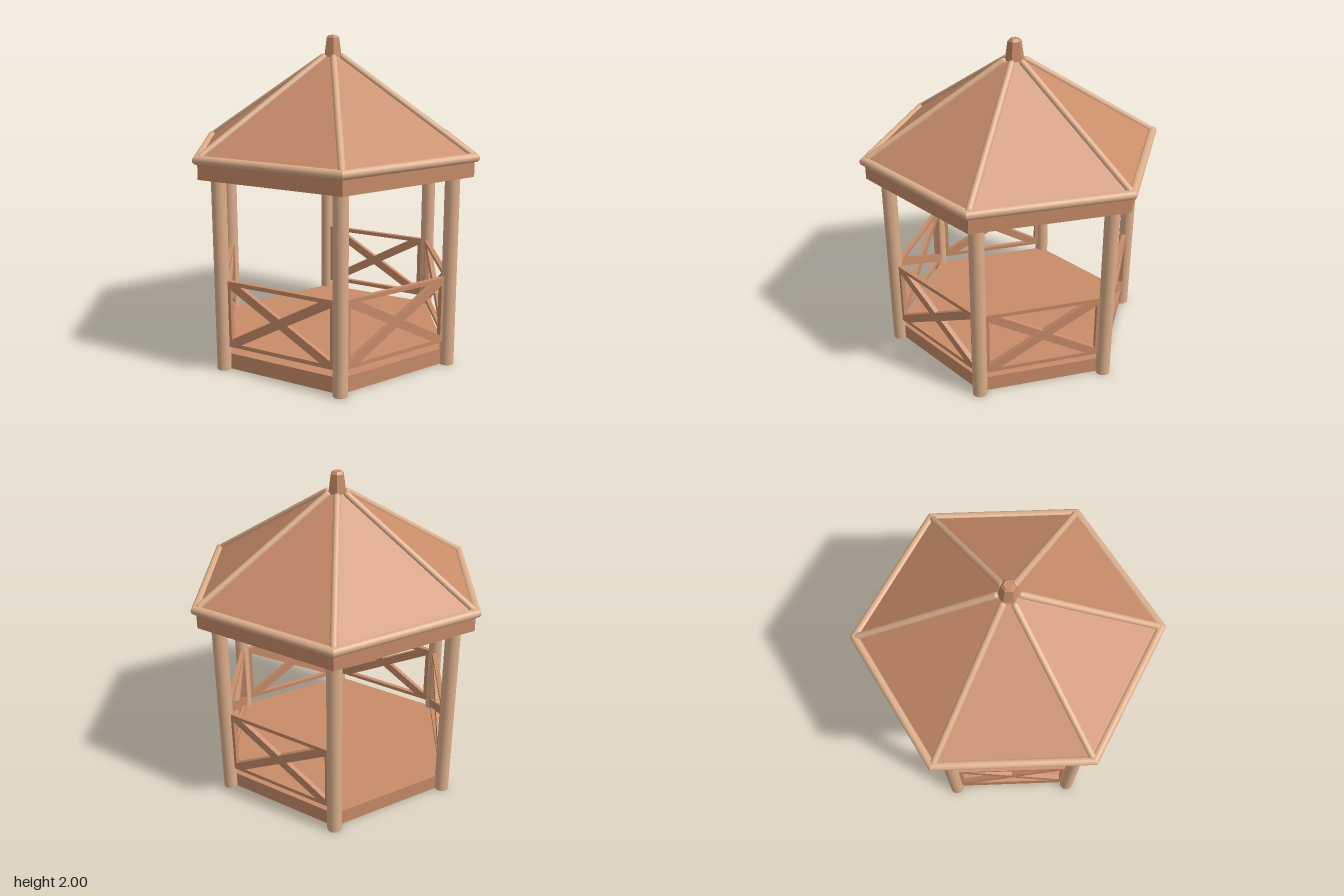
import * as THREE from 'three';
import { toCreasedNormals } from 'three/addons/utils/BufferGeometryUtils.js';

const wood = new THREE.MeshStandardMaterial({ color: 0xc88c69 });
wood.name = 'brown wood';
const paleWood = new THREE.MeshStandardMaterial({ color: 0xdcae8b });
paleWood.name = 'pale wood';

const SIDES = 6;
const POST_R = 0.795; // distance of the posts from the centre

function part(name, geometry, material) {
  const mesh = new THREE.Mesh(geometry, material);
  mesh.name = name;
  return mesh;
}

// Six-sided ring or solid from a [corner radius, y] profile, corners on the x axis
function hexLathe(profile) {
  const pts = profile.map(([r, y]) => new THREE.Vector2(r, y));
  const geo = new THREE.LatheGeometry(pts, SIDES, Math.PI / 6);
  return toCreasedNormals(geo, 0.5);
}

// Railing panel: one board with four triangular openings that leave a crossed brace
function railingGeometry() {
  const w = 0.37, y0 = 0.15, y1 = 0.57, mid = 0.36;
  const hw = 0.335, hh = 0.185; // half size of the framed opening
  const slope = 0.575, gapX = 0.055, gapY = 0.031;
  const shape = new THREE.Shape([[-w, y0], [w, y0], [w, y1], [-w, y1]].map(p => new THREE.Vector2(...p)));
  const tx = (hh - gapY) / slope, ty = (hw - gapX) * slope;
  for (const s of [-1, 1]) {
    const across = [[0, mid + s * gapY], [-tx, mid + s * hh], [tx, mid + s * hh]];
    const side = [[s * gapX, mid], [s * hw, mid - ty], [s * hw, mid + ty]];
    for (const tri of [across, side]) {
      shape.holes.push(new THREE.Path(tri.map(p => new THREE.Vector2(...p))));
    }
  }
  const geo = new THREE.ExtrudeGeometry(shape, { depth: 0.03, bevelEnabled: false });
  return geo.translate(0, 0, 0.665);
}

export function createModel() {
  const gazebo = new THREE.Group();
  gazebo.name = 'gazebo';

  // Floor
  gazebo.add(part('floor', hexLathe([[0, 0], [0.785, 0], [0.785, 0.1], [0, 0.1]]), wood));

  // Fascia below the eaves
  gazebo.add(part('fascia', hexLathe(
    [[0.89, 1.2], [0.925, 1.2], [0.925, 1.315], [0.89, 1.315], [0.89, 1.2]]), wood));

  // Rounded eaves moulding with mitred corners
  const round = [];
  for (let i = 0; i <= 16; i++) {
    const a = (i / 16) * Math.PI * 2;
    round.push([0.925 + (0.027 / 0.866) * Math.cos(a), 1.315 + 0.027 * Math.sin(a)]);
  }
  gazebo.add(part('eavesMoulding', hexLathe(round), paleWood));

  // Roof shell
  gazebo.add(part('roof', hexLathe(
    [[0, 1.885], [0.9, 1.305], [0.92, 1.322], [0, 1.908]]), wood));

  // Finial
  gazebo.add(part('finial', hexLathe(
    [[0, 1.87], [0.06, 1.87], [0.043, 1.985], [0.028, 2], [0, 2]]), wood));

  // Posts and ridge poles at each corner
  const postGeo = new THREE.CylinderGeometry(0.045, 0.045, 1.31, 24).translate(0, 0.655, 0);
  const low = new THREE.Vector2(0.9, 1.334), high = new THREE.Vector2(0.07, 1.865);
  const run = low.distanceTo(high);
  const poleGeo = new THREE.CapsuleGeometry(0.021, run, 6, 16)
    .rotateZ(Math.atan2(low.x - high.x, high.y - low.y))
    .translate((low.x + high.x) / 2, (low.y + high.y) / 2, 0);
  const railGeo = railingGeometry();
  for (let k = 0; k < SIDES; k++) {
    const angle = (k * Math.PI) / 3;
    const post = part('post', postGeo, paleWood);
    post.position.set(POST_R * Math.cos(angle), 0, POST_R * Math.sin(angle));
    gazebo.add(post);

    const pole = part('ridgePole', poleGeo, paleWood);
    pole.rotation.y = angle;
    gazebo.add(pole);

    // Railings on every side but the back, which is the entrance
    if (k !== 3) {
      const railing = part('railing', railGeo, wood);
      railing.rotation.y = angle;
      gazebo.add(railing);
    }
  }
  return gazebo;
}
